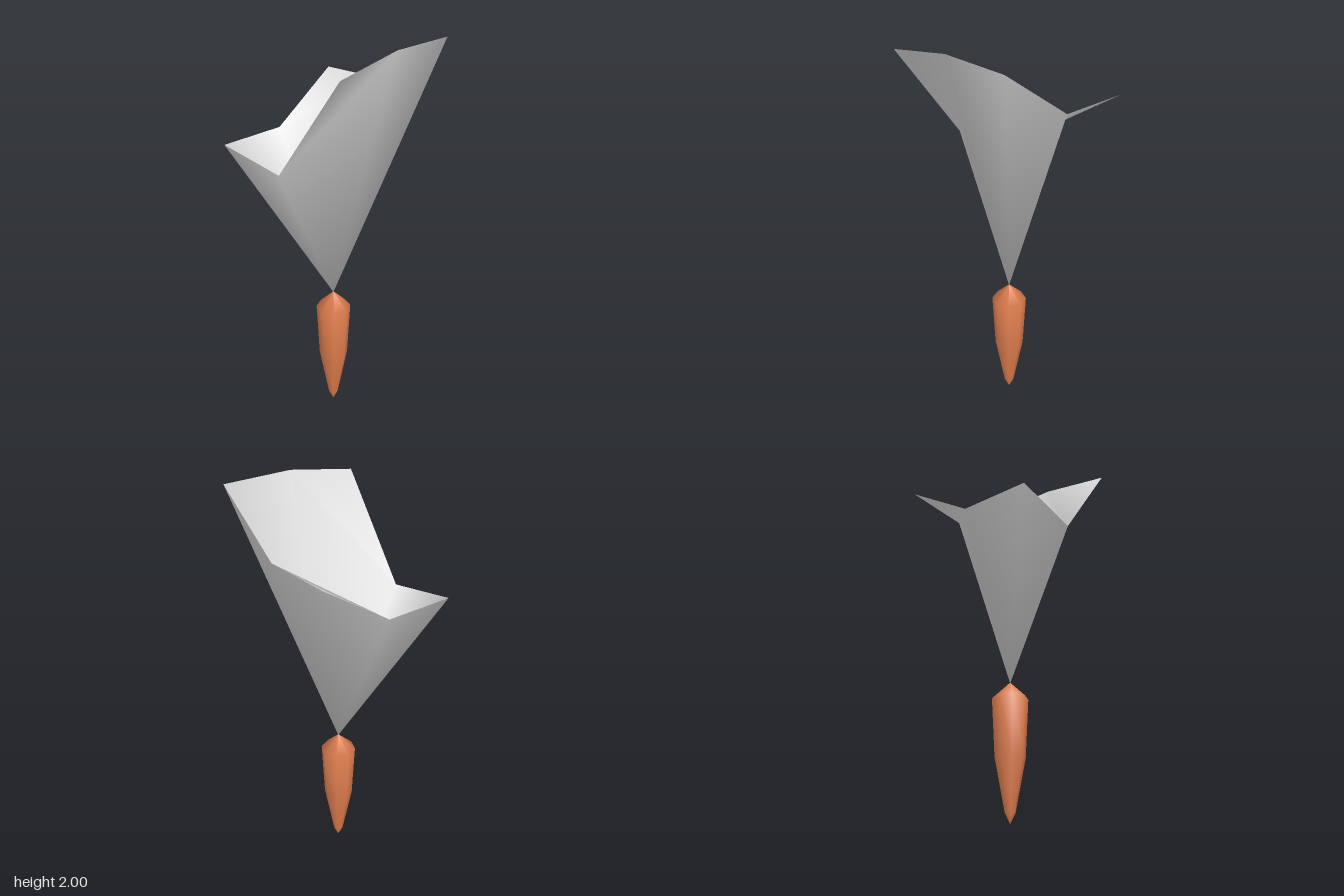
import * as THREE from 'three';

export function createModel() {
  const model = new THREE.Group();

  const sheetGrey = new THREE.MeshStandardMaterial({ color: 0xe0e0e0, side: THREE.DoubleSide });
  sheetGrey.name = 'pale grey';
  const orange = new THREE.MeshStandardMaterial({ color: 0xe07e4e });
  orange.name = 'orange';

  // Square sheet, two by two cells, with its centre pulled down to a point
  const heights = [
    1.74, 1.74, 2.0,  // back edge, from -x to +x
    1.5, 0.68, 2.0,   // middle row
    1.5, 1.44, 1.94,  // front edge
  ];
  const sheetGeometry = new THREE.PlaneGeometry(0.734, 0.734, 2, 2).rotateX(-Math.PI / 2);
  heights.forEach((y, i) => sheetGeometry.attributes.position.setY(i, y));
  sheetGeometry.computeVertexNormals();
  const sheet = new THREE.Mesh(sheetGeometry, sheetGrey);
  sheet.name = 'foldedSheet';
  model.add(sheet);

  // Tapering eight-sided spike below the sheet
  const profile = [[0, 0], [0.025, 0.05], [0.074, 0.31], [0.089, 0.6], [0, 0.685]]
    .map(([r, y]) => new THREE.Vector2(r, y));
  const spike = new THREE.Mesh(new THREE.LatheGeometry(profile, 8), orange);
  spike.name = 'spike';
  model.add(spike);

  return model;
}
